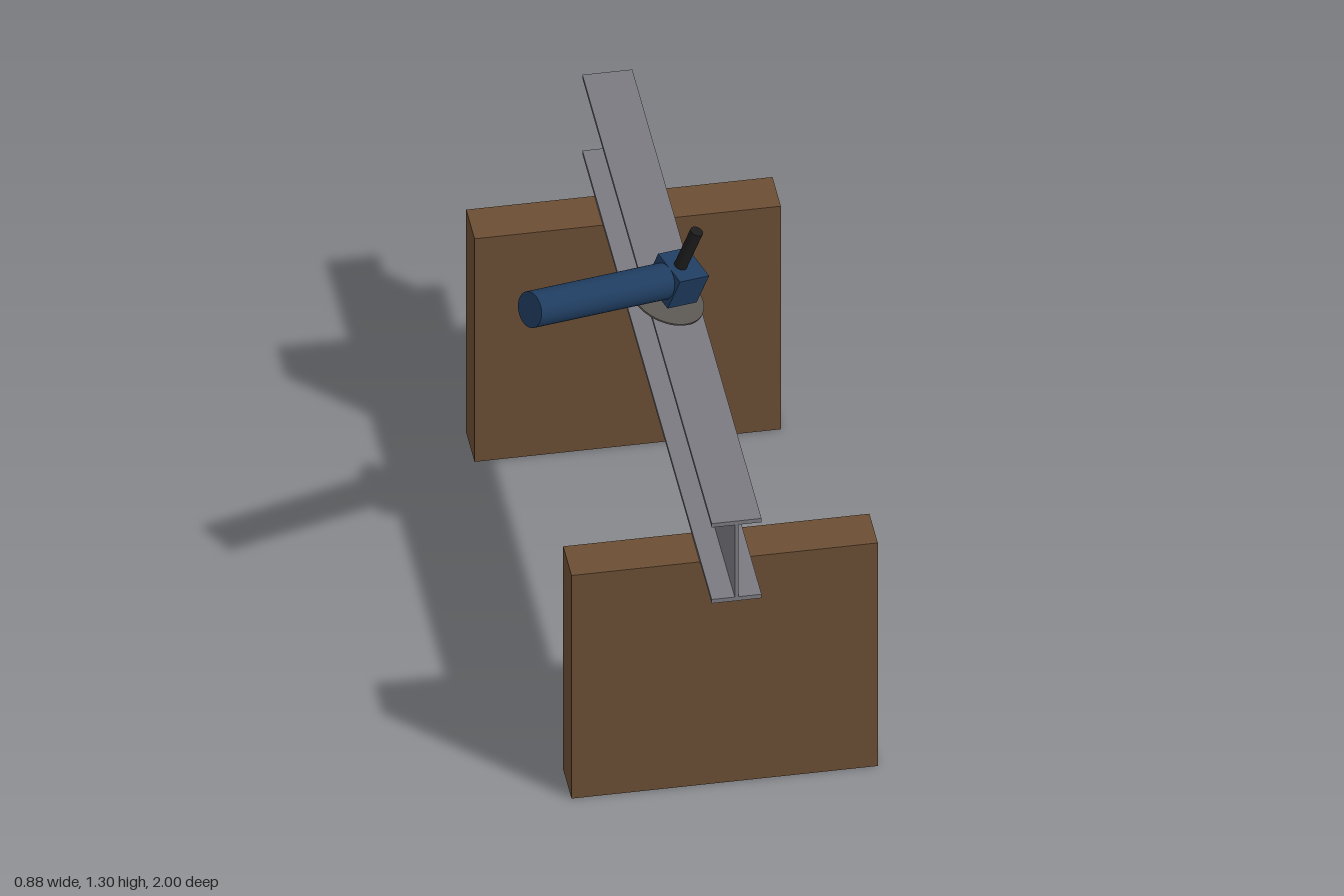
import * as THREE from 'three';

const paint = (name, color) => {
  const m = new THREE.MeshStandardMaterial({ color });
  m.name = name;
  return m;
};

function add(parent, name, geometry, material, x = 0, y = 0, z = 0) {
  const mesh = new THREE.Mesh(geometry, material);
  mesh.name = name;
  mesh.position.set(x, y, z);
  parent.add(mesh);
  return mesh;
}

export function createModel() {
  const wood = paint('brown wood', 0x6b4e34);
  const steel = paint('grey steel', 0x7b7a80);
  const blue = paint('dark blue housing', 0x1f3c5f);
  const black = paint('black grip', 0x1c1c1c);
  const abrasive = paint('abrasive grey', 0x5a5550);

  const model = new THREE.Group();
  const cx = 0.02;

  // Two upright slabs carrying the beam
  for (const side of [1, -1]) {
    add(model, side > 0 ? 'frontSupport' : 'backSupport',
      new THREE.BoxGeometry(0.83, 0.75, 0.13), wood, cx, 0.375, side * 0.75);
  }

  // I-beam: one section extruded along z
  const top = 0.268, flange = 0.0675, thick = 0.013, web = 0.005;
  const half = [[flange, 0], [flange, thick], [web, thick], [web, top - thick], [flange, top - thick], [flange, top]];
  const outline = [...half, ...half.map(([x, y]) => [-x, y]).reverse()];
  const section = new THREE.Shape(outline.map(([x, y]) => new THREE.Vector2(x, y)));
  add(model, 'steelBeam',
    new THREE.ExtrudeGeometry(section, { depth: 2, bevelEnabled: false }), steel, cx, 0.75, -1);

  // Angle grinder: local x runs along the body, local y is the disc axis
  const grinder = new THREE.Group();
  grinder.name = 'angleGrinder';
  const along = new THREE.Vector3(-0.863, 0.24, 0.444).normalize();
  const across = along.clone().cross(new THREE.Vector3(0.32, 0.94, 0.12)).normalize();
  const up = across.clone().cross(along);
  grinder.quaternion.setFromRotationMatrix(new THREE.Matrix4().makeBasis(along, up, across));
  grinder.position.set(0.024, 1.125, 0.06);
  model.add(grinder);

  add(grinder, 'gearHead', new THREE.BoxGeometry(0.1, 0.1, 0.11), blue);
  const body = add(grinder, 'motorBody', new THREE.CylinderGeometry(0.05, 0.05, 0.48, 32), blue, 0.269);
  body.rotation.z = -Math.PI / 2;
  add(grinder, 'sideHandle', new THREE.CylinderGeometry(0.018, 0.018, 0.14, 24), black, 0.011, 0.109, 0);
  add(grinder, 'grindingDisc', new THREE.CylinderGeometry(0.104, 0.104, 0.005, 40), abrasive, 0.003, -0.073, 0);

  return model;
}
